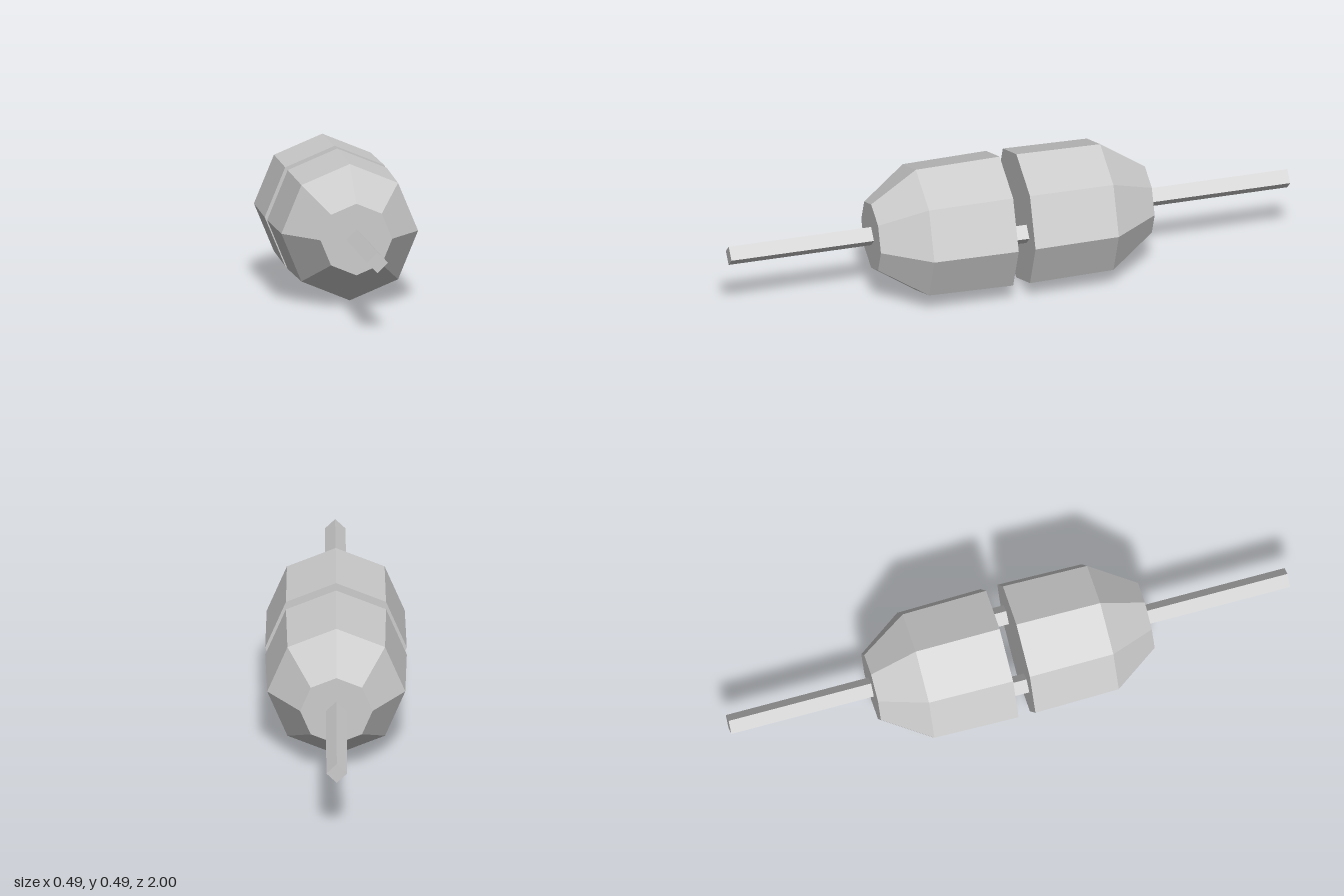
import * as THREE from 'three';

const AXIS_Y = 0.245; // height of the long axis

export function createModel() {
  const model = new THREE.Group();
  model.name = 'twoPartInsulator';
  const material = new THREE.MeshStandardMaterial({ color: 0xcccccc, flatShading: true });

  // Four-sided bar along z, standing on its edge
  const bar = (name, x, z0, z1) => {
    const geometry = new THREE.CylinderGeometry(0.036, 0.036, z1 - z0, 4);
    geometry.rotateX(Math.PI / 2);
    const mesh = new THREE.Mesh(geometry, material);
    mesh.name = name;
    mesh.position.set(x, 0, (z0 + z1) / 2);
    return mesh;
  };

  // Eight-sided body half: flat inner face, slight taper, chamfered outer end
  const profile = [[0, 0.03], [0.244, 0.03], [0.238, 0.33], [0.125, 0.49], [0, 0.49]]
    .map(([r, z]) => new THREE.Vector2(r, z));
  const bodyGeometry = new THREE.LatheGeometry(profile, 8);
  bodyGeometry.rotateX(Math.PI / 2);

  // Front half, and the same turned round for the back
  for (const [side, turn] of [['front', 0], ['back', Math.PI]]) {
    const half = new THREE.Group();
    half.name = side + 'Half';
    const body = new THREE.Mesh(bodyGeometry, material);
    body.name = side + 'Body';
    half.add(body, bar(side + 'Rod', 0, 0.48, 1));
    half.rotation.y = turn;
    half.position.y = AXIS_Y;
    model.add(half);
  }

  // Two pins bridging the gap between the halves
  for (const [name, x] of [['leftPin', 0.13], ['rightPin', -0.13]]) {
    const pin = bar(name, x, -0.04, 0.04);
    pin.position.y = AXIS_Y;
    model.add(pin);
  }

  return model;
}
